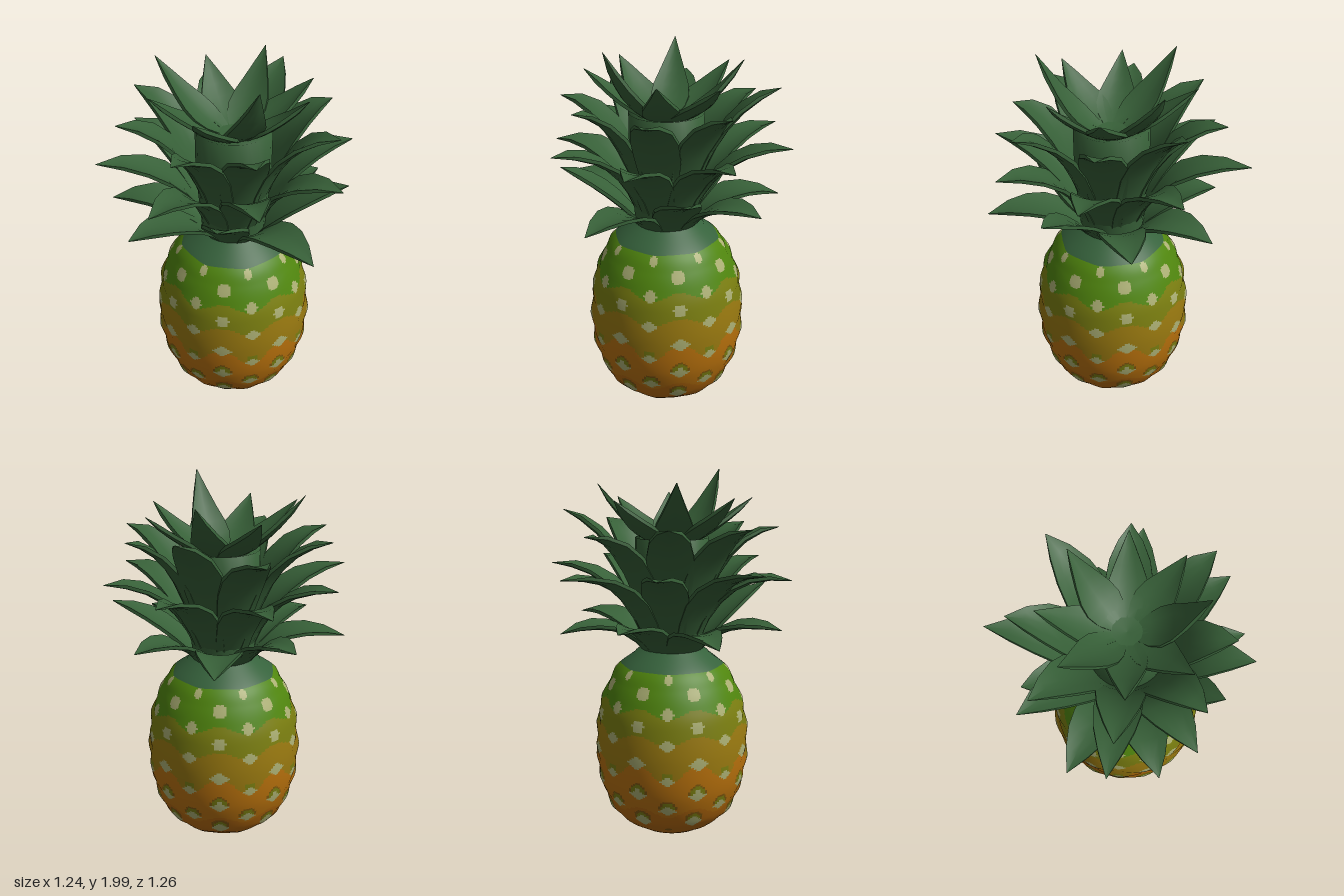
import * as THREE from 'three';
import { toCreasedNormals } from 'three/addons/utils/BufferGeometryUtils.js';

const CENTRE = new THREE.Vector3(0.03, 0, 0.03);

function mat(name, color) {
  const m = new THREE.MeshStandardMaterial({ color });
  m.name = name;
  return m;
}

// Rows of eyes: height and size; neighbouring rows are staggered by half a step
const ROWS = [[0.94, 0.7], [0.87, 1.05], [0.78, 0.95], [0.71, 1], [0.62, 1.05], [0.52, 1.1],
  [0.43, 0.95], [0.34, 1.05], [0.25, 1], [0.17, 1.05], [0.11, 0.5]];
const STEP = Math.PI / 4;

// Offset (angle, height) to the nearest eye of each row
function eyeOffsets(a, y) {
  return ROWS.map(([ry, size], row) => {
    const p = a - (row % 2 ? 0 : STEP / 2);
    return { da: p - Math.round(p / STEP) * STEP, dy: y - ry, size, row };
  });
}

// 0 collar, 1 green, 2 olive, 3 gold, 4 orange, 5 deep orange, 6 eye, 7 brown
function skinColour(a, y, r) {
  if (y > 0.962) return 0;
  const eyes = eyeOffsets(a, y);
  for (const e of eyes) {
    const u = Math.abs(e.da * r) / e.size, v = Math.abs(e.dy) / e.size;
    const d = e.row < 4 ? Math.hypot(u, v) / 0.033 : Math.pow(u / 0.05, 0.9) + Math.pow(v / 0.036, 0.9);
    if (d < 1) return e.row === 10 ? 7 : 6;
  }
  // olive halo and thin brown arc above the lower eyes
  for (const e of eyes) {
    if (e.row < 6 || e.row > 9) continue;
    const d = Math.hypot(e.da * r, e.dy - 0.014) / e.size;
    if (d < 0.036) return 2;
    if (e.row > 6 && e.dy > 0.008 && d < 0.047) return 7;
  }
  const wave = Math.cos(a * 8);
  if (y > 0.775 + 0.018 * wave) return 1;
  if (y > 0.64 + 0.02 * wave) return 2;
  if (y > 0.465 + 0.045 * wave) return 3;
  return y > 0.23 + 0.025 * wave ? 4 : 5;
}

// Fruit skin: a turned profile raised into a low pyramid at every eye, shaded smoothly
function makeFruit(materials) {
  const profile = new THREE.SplineCurve([[0, 0], [0.1, 0.007], [0.205, 0.04], [0.285, 0.1], [0.345, 0.17],
    [0.402, 0.33], [0.418, 0.52], [0.4, 0.7], [0.37, 0.8], [0.333, 0.88], [0.28, 0.96], [0.168, 1.05]]
    .map(([x, y]) => new THREE.Vector2(x, y)));
  const N = 192, M = 140, pts = profile.getSpacedPoints(M);
  const pos = [], lists = materials.map(() => []);
  for (let j = 0; j <= M; j++) {
    for (let i = 0; i < N; i++) {
      const a = (i / N) * Math.PI * 2;
      pos.push(Math.sin(a) * pts[j].x, Math.max(0, pts[j].y), Math.cos(a) * pts[j].x);
    }
  }
  for (let j = 0; j < M; j++) {
    for (let i = 0; i < N; i++) {
      const n = (i + 1) % N;
      const a = j * N + i, b = j * N + n, c = b + N, d = a + N;
      const ym = (pts[j].y + pts[j + 1].y) / 2, rm = (pts[j].x + pts[j + 1].x) / 2;
      lists[skinColour(((i + 0.5) / N) * Math.PI * 2, ym, rm)].push(a, b, c, a, c, d);
    }
  }
  const geo = new THREE.BufferGeometry();
  geo.setAttribute('position', new THREE.Float32BufferAttribute(pos, 3));
  geo.setIndex(lists.flat());
  let start = 0;
  lists.forEach((l, k) => { geo.addGroup(start, l.length, k); start += l.length; });
  geo.computeVertexNormals();
  // raise the eyes after the normals are set, so the relief shows only in the outline
  const p = geo.attributes.position;
  for (let k = 0; k < p.count; k++) {
    const x = p.getX(k), y = p.getY(k), z = p.getZ(k), r = Math.hypot(x, z);
    if (r < 0.2) continue;
    let h = 0;
    for (const e of eyeOffsets(Math.atan2(x, z), y)) {
      h = Math.max(h, 1 - Math.abs(e.da) / (STEP / 2) - Math.abs(e.dy) / 0.09);
    }
    const s = 1 + (0.016 * h - 0.005) / r;
    p.setXYZ(k, x * s, y, z * s);
  }
  return new THREE.Mesh(geo, materials);
}

// Leaf tiers from the top down: base and bend (radius, height), half widths, tips (x, y, z)
const BROAD = [0.08, 0.1, 0.117, 0.118, 0.1, 0.06, 0.001];
const POINTED = [0.05, 0.085, 0.1, 0.092, 0.066, 0.035, 0.001];
const TIERS = [
  { base: [0.06, 1.6], bend: [0.23, 1.66], widths: POINTED, tips: [[0.19, 1.99, 0.36], [0.4, 1.86, 0.14],
    [0.4, 1.84, -0.16], [0.14, 1.92, -0.34], [-0.17, 1.85, -0.34], [-0.38, 1.94, -0.09], [-0.35, 1.86, 0.22],
    [-0.1, 1.85, 0.43]] },
  { base: [0.14, 1.18], bend: [0.28, 1.67], widths: BROAD, tips: [[0.2, 1.7, 0.52], [0.56, 1.72, 0.23],
    [0.5, 1.72, -0.2], [0.22, 1.79, -0.51], [-0.2, 1.68, -0.5], [-0.52, 1.73, -0.18], [-0.51, 1.72, 0.25],
    [-0.18, 1.7, 0.55]] },
  { base: [0.14, 1.09], bend: [0.29, 1.49], widths: BROAD, tips: [[0.23, 1.5, 0.63], [0.59, 1.49, 0.32],
    [0.62, 1.5, -0.19], [0.31, 1.5, -0.56], [-0.23, 1.48, -0.63], [-0.55, 1.5, -0.25], [-0.62, 1.51, 0.27],
    [-0.29, 1.43, 0.58]] },
  { base: [0.14, 1.03], bend: [0.31, 1.25], widths: BROAD, tips: [[0.03, 1.38, 0.58], [0.48, 1.18, 0.5],
    [0.62, 1.35, 0.03], [0.45, 1.2, -0.37], [0.04, 1.16, -0.58], [-0.35, 1.22, -0.38], [-0.62, 1.17, 0.04],
    [-0.43, 1.2, 0.46]] },
];

// One thick, slightly cupped leaf swept along a bent path and tapering to a point
function leafGeometry(tip, { base, bend, widths }) {
  const d = tip.clone().sub(CENTRE).setY(0).normalize();
  const side = new THREE.Vector3(d.z, 0, -d.x);
  const at = ([r, y]) => CENTRE.clone().addScaledVector(d, r).setY(y);
  const path = new THREE.QuadraticBezierCurve3(at(base), at(bend), tip);
  const across = [1, 0.5, 0, -0.5, -1, -1, -0.5, 0, 0.5, 1];
  const n = across.length, rows = widths.length - 1, pos = [], idx = [];
  widths.forEach((w, k) => {
    const p = path.getPoint(k / rows), t = path.getTangent(k / rows);
    const up = new THREE.Vector3(0, t.dot(d), 0).addScaledVector(d, -t.y).normalize();
    const thick = k === rows ? 0.001 : 0.009;
    across.forEach((u, i) => {
      const h = 0.2 * w * u * u + (i < n / 2 ? thick : -thick);
      pos.push(...p.clone().addScaledVector(side, u * w).addScaledVector(up, h).toArray());
    });
  });
  for (let k = 0; k < rows; k++) {
    for (let i = 0; i < n; i++) {
      const a = k * n + i, b = k * n + (i + 1) % n;
      idx.push(a, b, b + n, a, b + n, a + n);
    }
  }
  const geo = new THREE.BufferGeometry();
  geo.setAttribute('position', new THREE.Float32BufferAttribute(pos, 3));
  geo.setIndex(idx);
  return toCreasedNormals(geo, 0.7);
}

export function createModel() {
  const model = new THREE.Group();
  model.name = 'pineapple';

  const leafMat = mat('leaf green', 0x376038);
  const fruit = makeFruit([
    mat('collar green', 0x36623c), mat('skin green', 0x50860e), mat('skin olive', 0x7b7f10),
    mat('skin gold', 0x9a7a10), mat('skin orange', 0xb8710c), mat('skin deep orange', 0xb3680a),
    mat('eye cream', 0xacb074), mat('skin brown', 0x80580c),
  ]);
  fruit.name = 'fruit';
  fruit.position.copy(CENTRE);
  model.add(fruit);

  const crown = new THREE.Group();
  crown.name = 'crown';
  model.add(crown);

  // Shallow-dished core that closes the middle of the crown
  const core = new THREE.Mesh(new THREE.LatheGeometry(
    [[0.165, 1.03], [0.18, 1.2], [0.195, 1.4], [0.195, 1.645], [0.1, 1.62], [0, 1.61]]
      .map(([x, y]) => new THREE.Vector2(x, y)), 24), leafMat);
  core.name = 'crownCore';
  core.position.copy(CENTRE);
  crown.add(core);

  TIERS.forEach((tier, k) => {
    const ring = new THREE.Group();
    ring.name = `leafTier${k + 1}`;
    for (const t of tier.tips) {
      const leaf = new THREE.Mesh(leafGeometry(new THREE.Vector3(...t), tier), leafMat);
      leaf.name = 'leaf';
      ring.add(leaf);
    }
    crown.add(ring);
  });
  return model;
}
